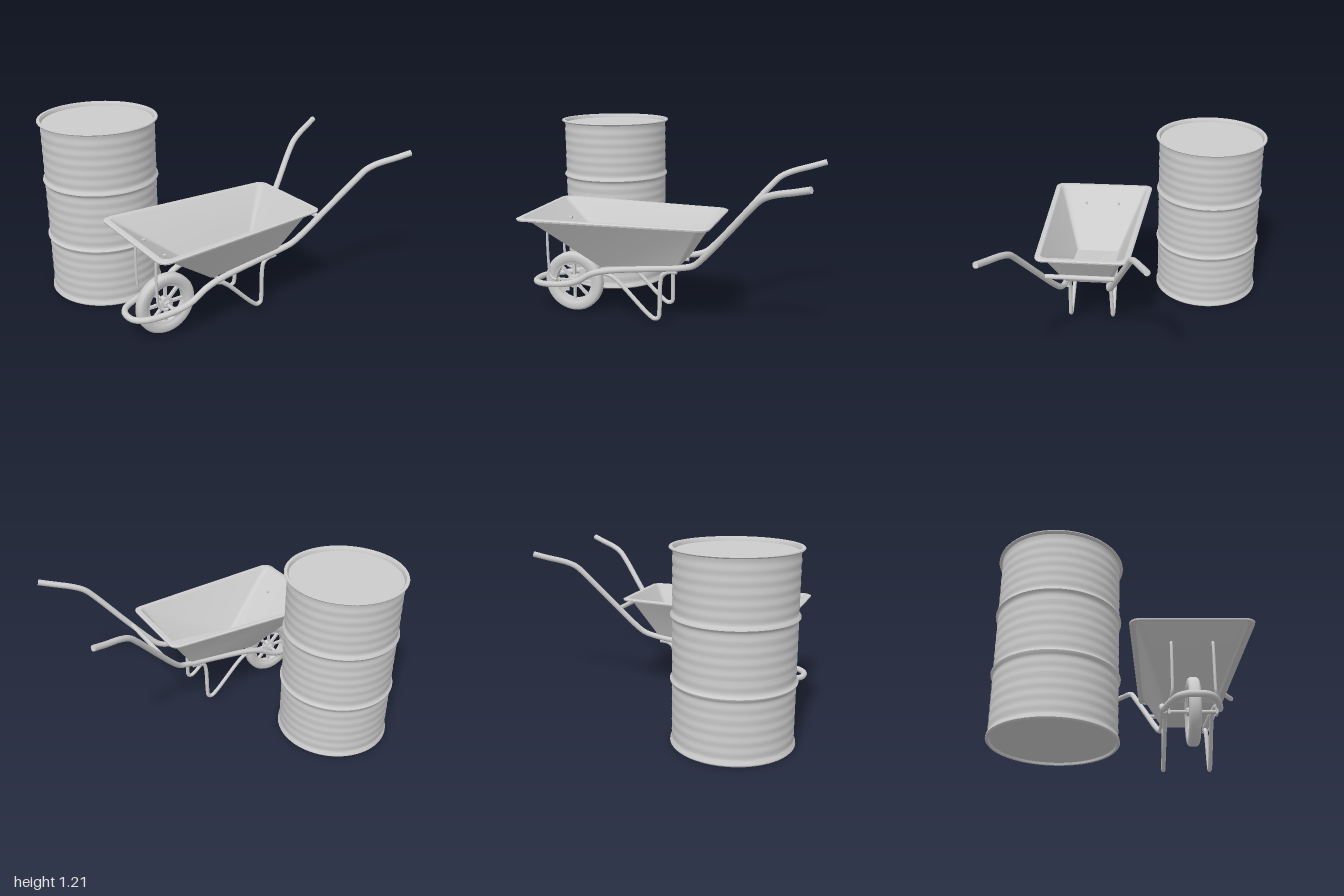
import * as THREE from 'three';
import { toCreasedNormals } from 'three/addons/utils/BufferGeometryUtils.js';

const material = new THREE.MeshStandardMaterial({ color: 0xcccccc, side: THREE.DoubleSide });
const v2 = (list) => list.map(([a, b]) => new THREE.Vector2(a, b));

function part(name, geometry, parent) {
  const mesh = new THREE.Mesh(geometry, material);
  mesh.name = name;
  parent.add(mesh);
  return mesh;
}

// Bent tube with flat end caps through [x, y, z] points
function bentTube(name, points, radius, parent, segments = 60) {
  const group = new THREE.Group();
  group.name = name;
  const curve = new THREE.CatmullRomCurve3(points.map((p) => new THREE.Vector3(...p)), false, 'centripetal');
  part(name + 'Pipe', new THREE.TubeGeometry(curve, segments, radius, 12), group);
  for (const t of [0, 1]) {
    const cap = part(name + 'Cap', new THREE.CircleGeometry(radius, 12), group);
    const end = curve.getPointAt(t);
    cap.position.copy(end);
    cap.lookAt(end.clone().addScaledVector(curve.getTangentAt(t), t ? 1 : -1));
  }
  parent.add(group);
}

// Steel drum: bottom chime, rippled wall with two rolling hoops, top chime, sunken lid
function makeDrum() {
  const profile = [[0, 0.018], [0.362, 0.018], [0.366, 0.005], [0.378, 0.004], [0.385, 0.012], [0.384, 0.022], [0.375, 0.032]];
  for (let i = 0; i <= 120; i++) {
    const y = 0.04 + (1.15 * i) / 120;
    let r = 0.3735 + 0.0015 * Math.sin((y * Math.PI * 2) / 0.066);
    for (const hoop of [0.41, 0.81]) r += 0.013 * Math.exp(-(((y - hoop) / 0.012) ** 2));
    profile.push([r, y]);
  }
  profile.push([0.376, 1.2], [0.392, 1.205], [0.395, 1.21], [0.392, 1.216], [0.374, 1.216], [0.369, 1.21], [0.365, 1.19], [0, 1.19]);
  const drum = new THREE.Group();
  drum.name = 'drum';
  part('drumShell', toCreasedNormals(new THREE.LatheGeometry(v2(profile), 64), 0.75), drum);
  drum.position.set(-0.605, 0, -0.455);
  return drum;
}

// Tray: loft of rounded trapezoid rings, from the floor up and over the rolled lip
function makeTray() {
  const steps = 6;
  const positions = [];
  const index = [];
  // [xFront, xBack, halfFront, halfBack, yFront, yBack, cornerRadius]
  const rings = [
    [-0.1, -0.09, 0.005, 0.005, 0.4, 0.4, 0.002],
    [-0.36, 0.18, 0.155, 0.155, 0.372, 0.428, 0.02],
    [-0.79, 0.345, 0.327, 0.268, 0.697, 0.697, 0.04],
    [-0.8, 0.352, 0.337, 0.276, 0.707, 0.707, 0.045],
    [-0.825, 0.38, 0.364, 0.3, 0.708, 0.708, 0.055],
    [-0.838, 0.39, 0.374, 0.31, 0.702, 0.702, 0.06],
    [-0.836, 0.388, 0.372, 0.308, 0.692, 0.692, 0.06],
    [-0.822, 0.376, 0.36, 0.296, 0.692, 0.692, 0.055],
  ];
  const count = 4 * (steps + 1);
  rings.forEach(([x0, x1, h0, h1, y0, y1, r], k) => {
    const corners = [[x1 - r, h1 - r], [x0 + r, h0 - r], [x0 + r, r - h0], [x1 - r, r - h1]];
    corners.forEach(([cx, cz], c) => {
      for (let s = 0; s <= steps; s++) {
        const a = ((c + s / steps) * Math.PI) / 2;
        const x = cx + r * Math.cos(a);
        positions.push(x, y0 + ((y1 - y0) * (x - x0)) / (x1 - x0), cz + r * Math.sin(a));
      }
    });
    if (k === 0) return;
    for (let i = 0; i < count; i++) {
      const j = (i + 1) % count;
      const a = (k - 1) * count, b = k * count;
      index.push(a + i, a + j, b + i, a + j, b + j, b + i);
    }
  });
  const geometry = new THREE.BufferGeometry();
  geometry.setAttribute('position', new THREE.Float32BufferAttribute(positions, 3));
  geometry.setIndex(index);
  return toCreasedNormals(geometry, 0.5);
}

// Wheel: tyre, rim, spokes and hub, turning about z
function makeWheel() {
  const wheel = new THREE.Group();
  wheel.name = 'wheel';
  const ring = (name, profile) => {
    const geometry = new THREE.LatheGeometry(v2(profile), 48).rotateX(Math.PI / 2);
    part(name, toCreasedNormals(geometry, 0.7), wheel);
  };
  ring('tyre', [[0.138, -0.026], [0.15, -0.034], [0.185, -0.035], [0.196, -0.03], [0.203, -0.018], [0.203, 0.018],
    [0.196, 0.03], [0.185, 0.035], [0.15, 0.034], [0.138, 0.026], [0.138, -0.026]]);
  ring('rim', [[0.125, -0.022], [0.145, -0.028], [0.145, 0.028], [0.125, 0.022], [0.125, -0.022]]);
  ring('hub', [[0, -0.04], [0.022, -0.04], [0.025, -0.025], [0.046, -0.02], [0.046, 0.02], [0.025, 0.025], [0.022, 0.04], [0, 0.04]]);
  for (let i = 0; i < 8; i++) {
    const spoke = part('spoke', new THREE.BoxGeometry(0.016, 0.1, 0.022).translate(0, 0.085, 0), wheel);
    spoke.rotation.z = (i * Math.PI) / 4;
  }
  const axle = part('axle', new THREE.CylinderGeometry(0.012, 0.012, 0.28, 16), wheel);
  axle.rotation.x = Math.PI / 2;
  wheel.position.set(-0.605, 0.205, 0);
  return wheel;
}

function makeBarrow() {
  const barrow = new THREE.Group();
  barrow.name = 'wheelbarrow';
  part('tray', makeTray(), barrow);
  barrow.add(makeWheel());

  // One pipe runs from handle to handle, looping around the front of the wheel
  const side = [
    [0.99, 1.015, 0.47], [0.9, 0.99, 0.435], [0.78, 0.958, 0.385], [0.71, 0.925, 0.358], [0.65, 0.865, 0.335],
    [0.48, 0.665, 0.255], [0.33, 0.495, 0.19], [0.27, 0.44, 0.165], [0.2, 0.416, 0.152], [-0.05, 0.386, 0.155],
    [-0.3, 0.354, 0.163], [-0.41, 0.325, 0.17], [-0.51, 0.265, 0.168], [-0.6, 0.235, 0.16], [-0.75, 0.21, 0.13],
    [-0.83, 0.204, 0.095], [-0.865, 0.201, 0.05],
  ];
  const mirrored = side.map(([x, y, z]) => [x, y, -z]).reverse();
  bentTube('frame', [...side, [-0.872, 0.2, 0], ...mirrored], 0.02, barrow, 200);

  for (const s of [1, -1]) {
    // Bent leg below each frame rail
    bentTube('leg', [
      [-0.33, 0.33, 0.15], [-0.28, 0.315, 0.148], [-0.23, 0.28, 0.148], [-0.03, 0.085, 0.152], [0.01, 0.06, 0.152],
      [0.036, 0.07, 0.152], [0.043, 0.12, 0.15], [0.048, 0.3, 0.144], [0.06, 0.35, 0.142], [0.095, 0.374, 0.142], [0.155, 0.38, 0.142],
    ].map(([x, y, z]) => [x, y, z * s]), 0.014, barrow);
    // Thin strut holding up the front of the tray
    bentTube('trayStrut', [
      [-0.67, 0.25, 0.14], [-0.7, 0.256, 0.132], [-0.723, 0.28, 0.126], [-0.73, 0.32, 0.124],
      [-0.73, 0.58, 0.124], [-0.722, 0.602, 0.124], [-0.7, 0.611, 0.124], [-0.665, 0.612, 0.124],
    ].map(([x, y, z]) => [x, y, z * s]), 0.009, barrow);
    const bracket = part('axleBracket', new THREE.BoxGeometry(0.05, 0.06, 0.012), barrow);
    bracket.position.set(-0.605, 0.215, 0.14 * s);
  }

  // Bar between the handles
  const bar = part('crossBar', new THREE.CylinderGeometry(0.016, 0.016, 0.48, 16), barrow);
  bar.rotation.x = Math.PI / 2;
  bar.position.set(0.435, 0.618, 0);
  barrow.position.z = 0.355;
  return barrow;
}

export function createModel() {
  const model = new THREE.Group();
  model.name = 'wheelbarrowAndDrum';
  model.add(makeDrum(), makeBarrow());
  return model;
}
